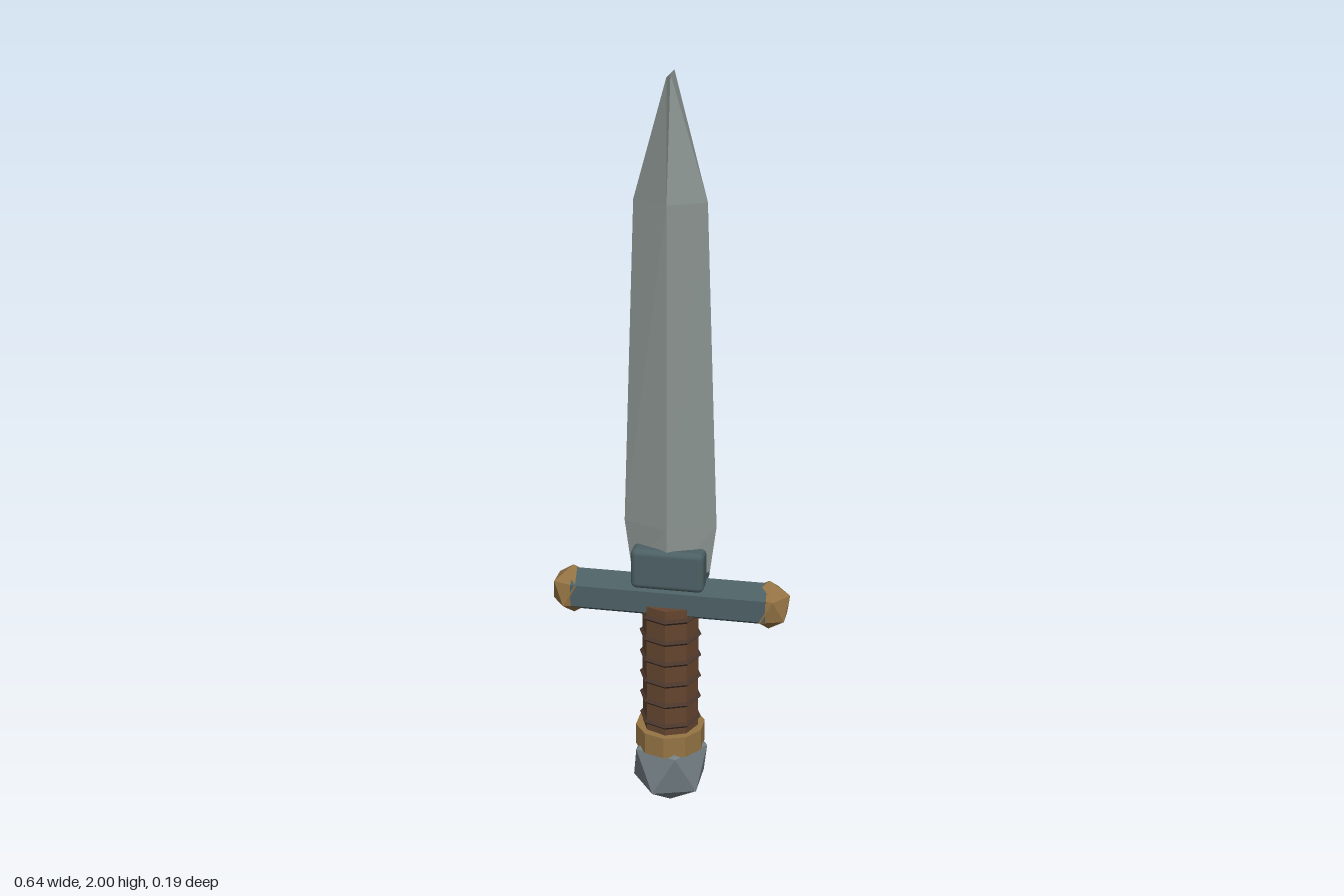
import * as THREE from 'three';
import { RoundedBoxGeometry } from 'three/addons/geometries/RoundedBoxGeometry.js';

const mat = (color) => new THREE.MeshStandardMaterial({ color, flatShading: true });

// Lofts a diamond cross-section through [y, halfWidth] stations
function bladeGeometry(stations, halfDepth) {
  const pos = [];
  const rings = stations.map(([y, w]) => [[w, y, 0], [0, y, halfDepth], [-w, y, 0], [0, y, -halfDepth]]);
  const quad = (a, b, c, d) => pos.push(...a, ...b, ...c, ...a, ...c, ...d);
  for (let i = 0; i < rings.length - 1; i++) {
    const lo = rings[i], hi = rings[i + 1];
    for (let k = 0; k < 4; k++) {
      const n = (k + 1) % 4;
      quad(lo[n], lo[k], hi[k], hi[n]);
    }
  }
  quad(...rings[0]);
  const geo = new THREE.BufferGeometry();
  geo.setAttribute('position', new THREE.Float32BufferAttribute(pos, 3));
  geo.computeVertexNormals();
  return geo;
}

// Icosahedron turned so a vertex points straight up, then stretched in y
function gemGeometry(radius, stretchY) {
  const geo = new THREE.IcosahedronGeometry(radius, 0);
  geo.rotateZ(-Math.atan(2 / (1 + Math.sqrt(5))));
  geo.scale(1, stretchY, 1);
  return geo;
}

export function createModel() {
  const group = new THREE.Group();
  const steel = mat(0x8a9390);
  const iron = mat(0x4c6064);
  const brass = mat(0x957444);
  const leather = mat(0x65452f);
  const strap = mat(0x49352a);
  const stone = mat(0x747f84);

  const add = (name, geo, material, x, y, z = 0) => {
    const mesh = new THREE.Mesh(geo, material);
    mesh.name = name;
    mesh.position.set(x, y, z);
    group.add(mesh);
    return mesh;
  };

  // Blade: the tip narrows to an edge running front to back
  const blade = bladeGeometry([[0.7, 0.105], [0.83, 0.122], [1.69, 0.093], [2, 0]], 0.05);
  const bladeMat = steel.clone();
  bladeMat.side = THREE.DoubleSide;
  add('blade', blade, bladeMat, 0, 0);

  // Collar holding the blade
  const collarMat = iron.clone();
  collarMat.flatShading = false;
  add('bladeCollar', new RoundedBoxGeometry(0.194, 0.112, 0.114, 3, 0.016), collarMat, 0, 0.715);

  // Hexagonal crossguard with faceted ends
  const guard = new THREE.CylinderGeometry(0.06, 0.06, 0.52, 6);
  guard.rotateY(Math.PI / 2);
  guard.rotateZ(Math.PI / 2);
  add('crossguard', guard, iron, 0, 0.622);
  for (const side of [-1, 1]) {
    add(side > 0 ? 'leftGuardCap' : 'rightGuardCap', gemGeometry(0.062, 1.12), brass, side * 0.263, 0.62);
  }

  // Grip with wrapped bands
  add('grip', new THREE.CylinderGeometry(0.076, 0.076, 0.4, 8), leather, 0, 0.41);
  for (let i = 0; i < 6; i++) {
    const ring = new THREE.TorusGeometry(0.073, 0.011, 4, 8);
    ring.rotateX(Math.PI / 2);
    add('gripBand', ring, strap, 0, 0.268 + i * 0.062);
  }

  // Brass ring and faceted pommel
  add('pommelRing', new THREE.CylinderGeometry(0.094, 0.094, 0.06, 10), brass, 0, 0.212);
  add('pommel', gemGeometry(0.114, 1.1), stone, 0, 0.1254);

  return group;
}
